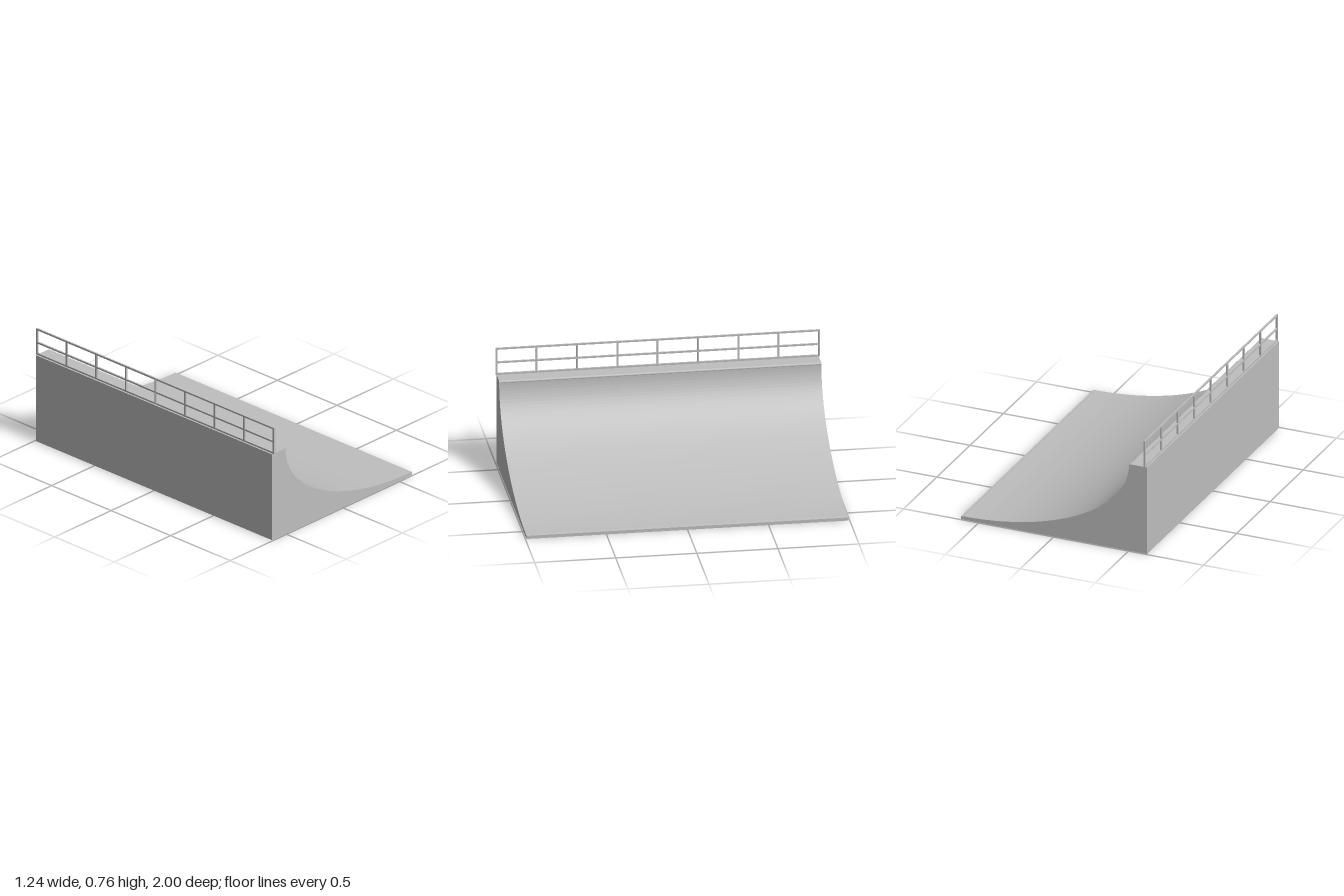
import * as THREE from 'three';

const DECK = 0.583, HALF = 0.993, RAIL_X = -0.605;

export function createModel() {
  const group = new THREE.Group();
  const grey = new THREE.MeshStandardMaterial({ color: 0xbfbfbf });
  grey.name = 'light grey';

  const add = (name, geometry, x, y, z, parent = group) => {
    const mesh = new THREE.Mesh(geometry, grey);
    mesh.name = name;
    mesh.position.set(x, y, z);
    parent.add(mesh);
    return mesh;
  };

  // Ramp body: side profile with a quarter-ellipse riding surface
  const profile = new THREE.Shape();
  profile.moveTo(-0.62, 0);
  profile.lineTo(0.62, 0);
  profile.lineTo(0.62, 0.02);
  profile.lineTo(0.6, 0.022);
  const steps = 48;
  for (let i = 1; i <= steps; i++) {
    const a = (i / steps) * Math.PI / 2;
    profile.lineTo(0.6 - 1.1 * Math.sin(a), 0.574 - 0.552 * Math.cos(a));
  }
  profile.lineTo(-0.508, 0.574);
  profile.lineTo(-0.508, DECK);
  profile.lineTo(-0.62, DECK);
  profile.closePath();
  const body = new THREE.ExtrudeGeometry(profile, { depth: HALF * 2, bevelEnabled: false });
  add('rampBody', body, 0, 0, -HALF);

  // Coping pipe let into the top edge
  const pipe = new THREE.CylinderGeometry(0.009, 0.009, HALF * 2, 16);
  pipe.rotateX(Math.PI / 2);
  add('coping', pipe, -0.508, 0.574, 0);

  // Safety railing along the back of the deck
  const railing = new THREE.Group();
  railing.name = 'railing';
  group.add(railing);
  const postHeight = 0.76 - DECK;
  const post = new THREE.BoxGeometry(0.011, postHeight, 0.011);
  for (let i = 0; i < 9; i++) {
    add('railPost', post, RAIL_X, DECK + postHeight / 2, -0.9945 + i * 0.9945 / 4, railing);
  }
  const rail = new THREE.BoxGeometry(0.01, 0.011, 2);
  for (const y of [DECK + 0.006, 0.665, 0.7545]) add('rail', rail, RAIL_X, y, 0, railing);

  return group;
}
